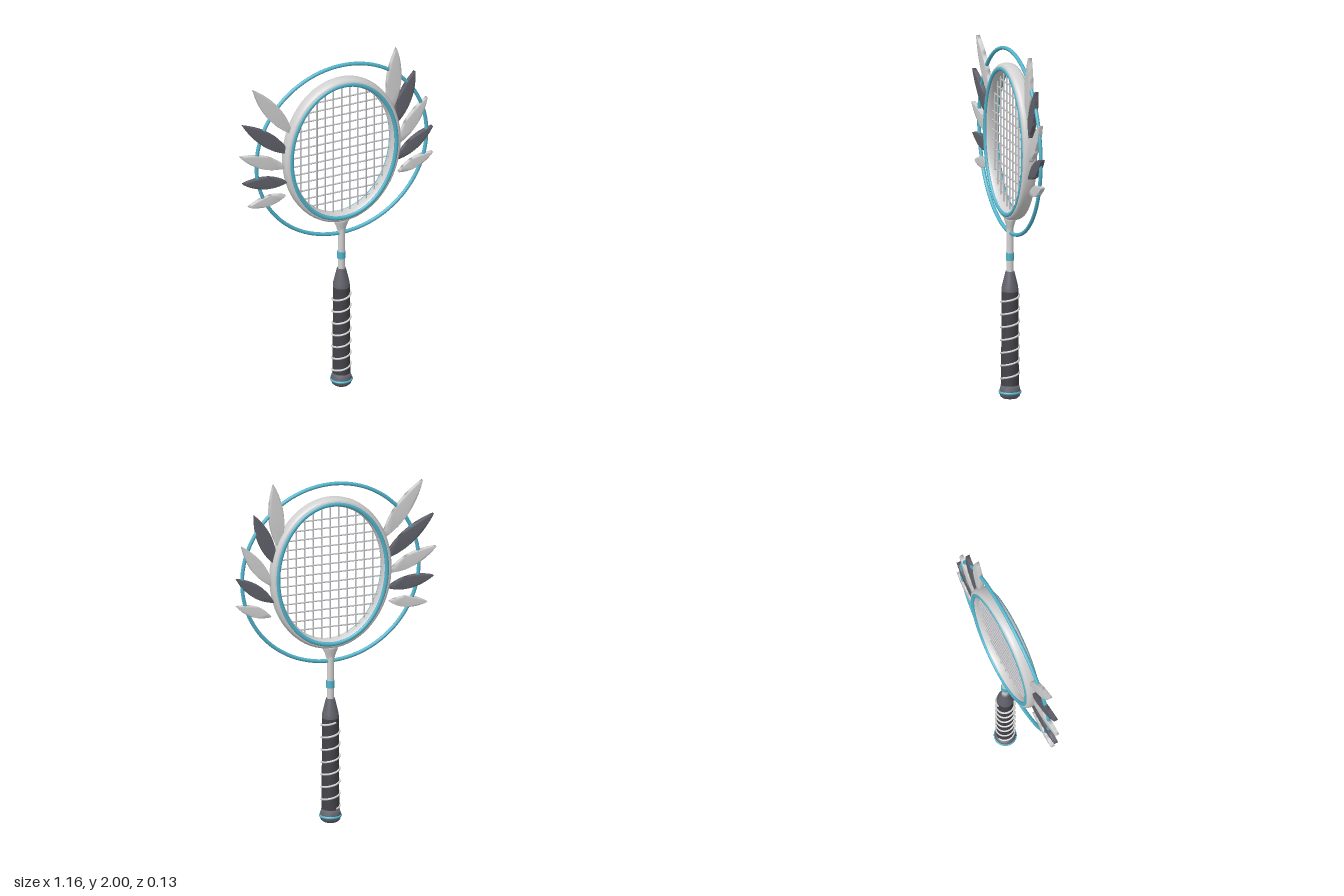
import * as THREE from 'three';
import { mergeVertices } from 'three/addons/utils/BufferGeometryUtils.js';

const CX = 0.03, CY = 1.45; // centre of the racket head

export function createModel() {
  const root = new THREE.Group();
  root.name = 'racket';
  const mat = (name, color) => {
    const m = new THREE.MeshStandardMaterial({ color });
    m.name = name;
    return m;
  };
  const silver = mat('silver', 0xd2d2d2);
  const string = mat('string grey', 0xc4c4c8);
  const blue = mat('sky blue', 0x52b4cc);
  const slate = mat('slate', 0x62626c);
  const grip = mat('grip charcoal', 0x434349);

  const add = (name, geo, material, x = 0, y = 0, z = 0, parent = root) => {
    const m = new THREE.Mesh(geo, material);
    m.name = name;
    m.position.set(x, y, z);
    parent.add(m);
    return m;
  };
  const smooth = (geo) => {
    geo.deleteAttribute('normal');
    geo.deleteAttribute('uv');
    const g = mergeVertices(geo, 1e-5);
    g.computeVertexNormals();
    return g;
  };
  const lathe = (pts) => new THREE.LatheGeometry(pts.map(([r, y]) => new THREE.Vector2(r, y)), 32);

  // Elliptical ring with a rounded section: a = radial half width, b = half depth
  const ellipseRing = (rx, ry, a, b, power = 1) => {
    const g = new THREE.TorusGeometry(1, 0.2, 20, 96);
    const p = g.attributes.position, uv = g.attributes.uv;
    const soft = (t) => Math.sign(t) * Math.abs(t) ** power;
    for (let i = 0; i < p.count; i++) {
      const u = uv.getX(i) * Math.PI * 2, v = uv.getY(i) * Math.PI * 2;
      const off = a * soft(Math.cos(v));
      p.setXYZ(i, (rx + off) * Math.cos(u), (ry + off) * Math.sin(u), b * soft(Math.sin(v)));
    }
    return smooth(g);
  };

  // Head frame, rim trims and the large outer ring
  add('headFrame', ellipseRing(0.325, 0.412, 0.026, 0.04, 0.8), silver, CX, CY);
  for (const s of [1, -1]) {
    add(s > 0 ? 'frontTrim' : 'backTrim', ellipseRing(0.317, 0.407, 0.012, 0.01), blue, CX, CY, s * 0.035);
  }
  add('outerRing', new THREE.TorusGeometry(0.515, 0.0105, 12, 96), blue, CX, CY);

  // String bed, clipped to the head ellipse
  const strings = new THREE.Group();
  strings.name = 'strings';
  root.add(strings);
  const SX = 0.302, SY = 0.385, T = 0.0045;
  for (let i = -5; i <= 5; i++) {
    const x = i * 0.0495, h = SY * Math.sqrt(1 - (x / SX) ** 2);
    add('mainString', new THREE.CylinderGeometry(T, T, 2 * h, 8), string, CX + x, CY, 0.002, strings);
  }
  for (let i = -6; i <= 6; i++) {
    const y = i * 0.0525, w = SX * Math.sqrt(1 - (y / SY) ** 2);
    add('crossString', new THREE.CylinderGeometry(T, T, 2 * w, 8), string, CX, CY + y, -0.002, strings)
      .rotation.z = Math.PI / 2;
  }

  // Feathers: base and tip positions, width, colour
  const feathers = [
    [-0.27, 1.61, -0.505, 1.925, 0.085, silver],
    [-0.28, 1.49, -0.569, 1.722, 0.08, slate],
    [-0.305, 1.41, -0.585, 1.53, 0.073, silver],
    [-0.3, 1.32, -0.569, 1.362, 0.07, slate],
    [-0.31, 1.24, -0.532, 1.213, 0.06, silver],
    [0.33, 1.62, 0.362, 2.0, 0.085, silver],
    [0.35, 1.53, 0.474, 1.835, 0.08, slate],
    [0.37, 1.41, 0.548, 1.66, 0.073, silver],
    [0.36, 1.315, 0.58, 1.475, 0.07, slate],
    [0.375, 1.235, 0.58, 1.315, 0.06, silver],
  ];
  for (const [bx, by, tx, ty, width, material] of feathers) {
    const len = Math.hypot(tx - bx, ty - by), w = width * 0.66;
    const s = new THREE.Shape();
    s.moveTo(0, 0);
    s.bezierCurveTo(w, len * 0.3, w, len * 0.65, 0, len);
    s.bezierCurveTo(-w, len * 0.65, -w, len * 0.3, 0, 0);
    const g = new THREE.ExtrudeGeometry(s, { depth: 0.023, bevelEnabled: false, curveSegments: 14 });
    g.translate(0, 0, -0.0115);
    add(bx > 0 ? 'leftFeather' : 'rightFeather', smooth(g), material, bx, by)
      .rotation.z = Math.atan2(bx - tx, ty - by);
  }

  // Throat, shaft and shaft band
  add('throat', lathe([[0.019, 0.9], [0.021, 0.94], [0.03, 0.975], [0.044, 1.008], [0.046, 1.025], [0, 1.035]]),
    silver, CX).scale.z = 0.7;
  add('shaft', new THREE.CylinderGeometry(0.019, 0.019, 0.32, 24), silver, CX, 0.86);
  add('shaftBand', new THREE.CylinderGeometry(0.023, 0.023, 0.042, 24), blue, CX, 0.8);

  // Handle: collar, grip and spiral wrap
  add('collar', lathe([[0.047, 0.605], [0.045, 0.63], [0.026, 0.71], [0.024, 0.717], [0, 0.717]]), slate, CX);
  add('grip', new THREE.CylinderGeometry(0.046, 0.049, 0.54, 32), grip, CX, 0.34);
  const helix = [];
  for (let i = 0; i <= 112; i++) {
    const turn = -0.45 + i / 16, t = turn * Math.PI * 2;
    helix.push(new THREE.Vector3(0.05 * Math.sin(t), 0.114 + 0.0722 * turn, 0.05 * Math.cos(t)));
  }
  add('gripWrap', new THREE.TubeGeometry(new THREE.CatmullRomCurve3(helix), 280, 0.0058, 8), silver, CX);

  // Pommel with its ring
  add('pommel', lathe([[0, 0], [0.042, 0.002], [0.053, 0.012], [0.059, 0.03], [0.058, 0.045], [0.05, 0.075], [0, 0.078]]),
    slate, CX);
  add('pommelRing', new THREE.TorusGeometry(0.056, 0.0075, 10, 40), blue, CX, 0.035).rotation.x = Math.PI / 2;

  return root;
}
